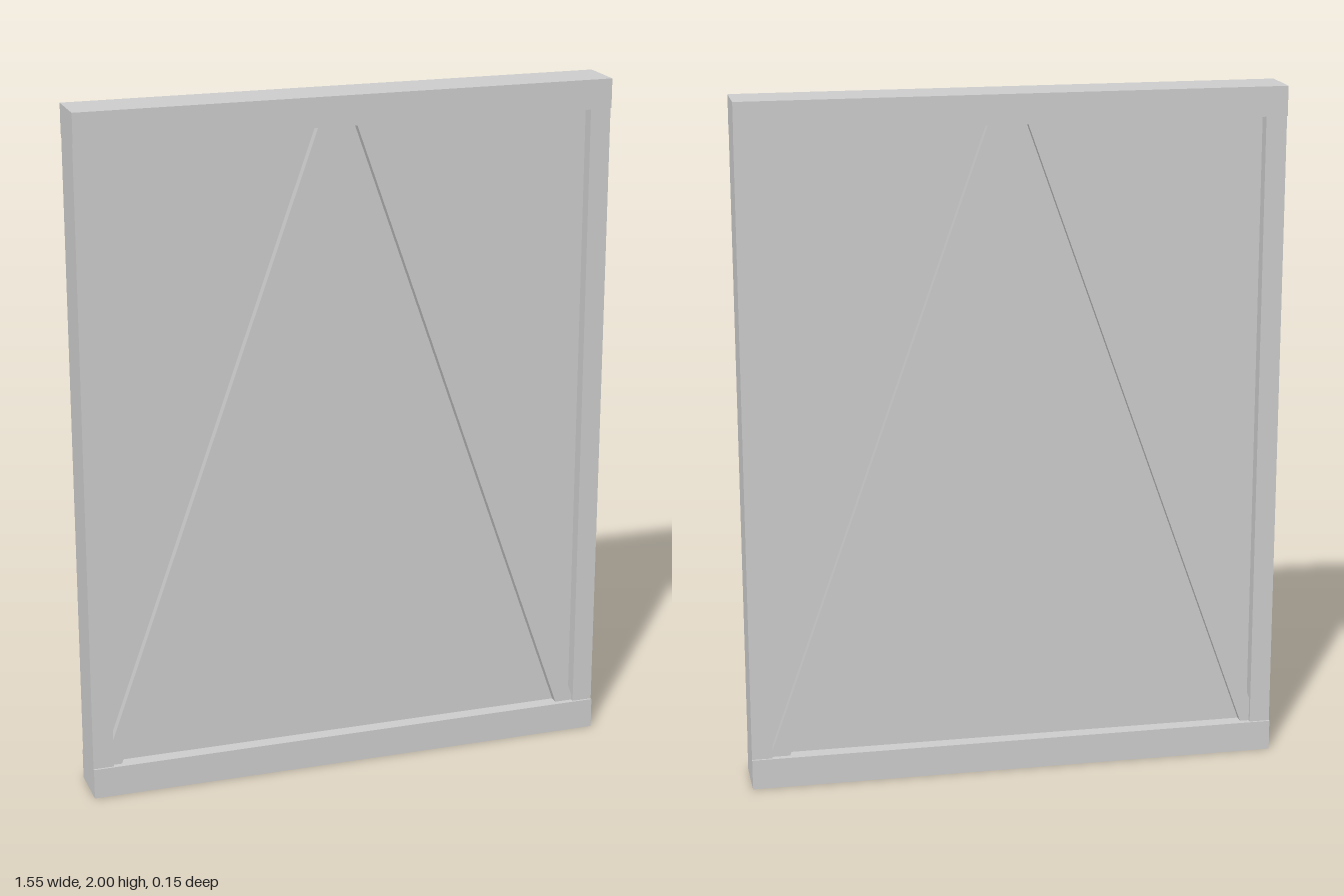
import * as THREE from 'three';

export function createModel() {
  const group = new THREE.Group();
  const material = new THREE.MeshStandardMaterial({ color: 0xcccccc, flatShading: true });
  const bottom = 0.09, top = 1.915, halfWidth = 0.777, inner = 0.717;

  function add(name, geometry, x = 0, y = 0, z = 0) {
    const mesh = new THREE.Mesh(geometry, material);
    mesh.name = name;
    mesh.position.set(x, y, z);
    group.add(mesh);
  }

  // Top and bottom rails, slightly deeper than the stiles
  add('bottomRail', new THREE.BoxGeometry(halfWidth * 2, bottom, 0.146), 0, bottom / 2);
  add('topRail', new THREE.BoxGeometry(halfWidth * 2, 2 - top, 0.146), 0, (2 + top) / 2);

  // Side stiles between the rails
  for (const [name, side] of [['leftStile', 1], ['rightStile', -1]]) {
    add(name, new THREE.BoxGeometry(halfWidth - inner, top - bottom, 0.134),
      side * (halfWidth + inner) / 2, (top + bottom) / 2);
  }

  // Recessed flat panel
  add('panel', new THREE.BoxGeometry(inner * 2, top - bottom, 0.06), 0, (top + bottom) / 2);

  // Diagonal braces, trimmed to the frame and standing proud on both faces
  const depth = 0.112;
  const braces = {
    rightBrace: [[-0.69, bottom], [-0.037, top], [-0.088, top], [-inner, 0.16], [-inner, bottom]],
    leftBrace: [[0.665, bottom], [inner, bottom], [inner, 0.105], [0.075, top], [0.023, top]],
  };
  for (const [name, points] of Object.entries(braces)) {
    const shape = new THREE.Shape(points.map(([x, y]) => new THREE.Vector2(x, y)));
    add(name, new THREE.ExtrudeGeometry(shape, { depth, bevelEnabled: false }), 0, 0, -depth / 2);
  }
  return group;
}
